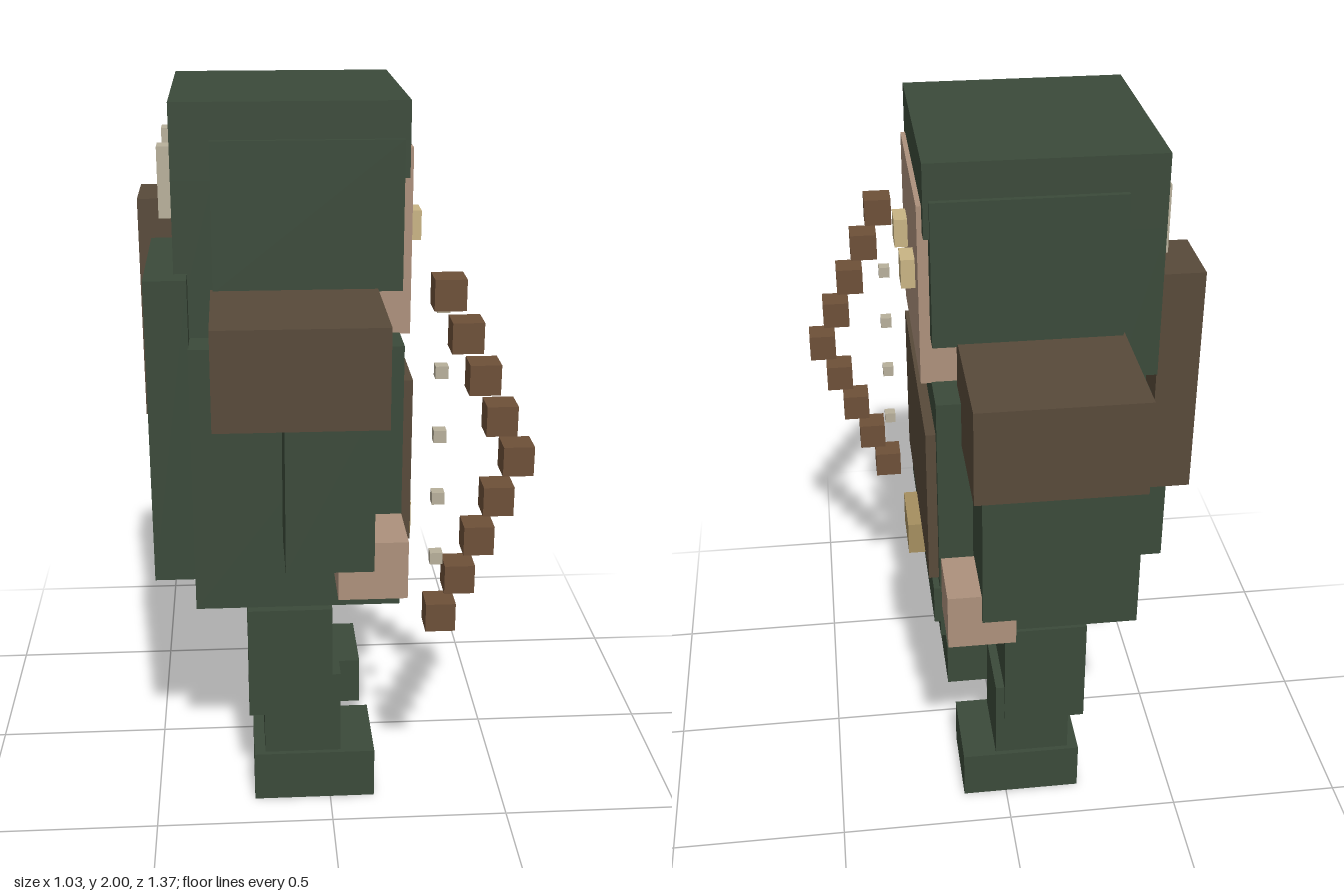
import * as THREE from 'three';

export function createModel() {
  const root = new THREE.Group();
  root.name = 'blockyArcher';

  const mat = (name, color) => {
    const m = new THREE.MeshStandardMaterial({ color });
    m.name = name;
    return m;
  };
  const green = mat('forestGreen', 0x3b4a3a);
  const leather = mat('darkLeather', 0x584a3a);
  const skin = mat('skin', 0xad917c);
  const gold = mat('paleGold', 0xc9b484);
  const brass = mat('brass', 0xa58f5f);
  const wood = mat('bowWood', 0x6d5038);
  const bone = mat('bone', 0xb8b09b);

  // Box given by its [min, max] range on each axis
  function box(name, material, [x0, x1], [y0, y1], [z0, z1], parent = root) {
    const mesh = new THREE.Mesh(new THREE.BoxGeometry(x1 - x0, y1 - y0, z1 - z0), material);
    mesh.position.set((x0 + x1) / 2, (y0 + y1) / 2, (z0 + z1) / 2);
    mesh.name = name;
    parent.add(mesh);
  }
  // The same box on both sides of the body
  function pair(name, material, x, y, [z0, z1]) {
    box(name + 'Right', material, x, y, [z0, z1]);
    box(name + 'Left', material, x, y, [-z1, -z0]);
  }
  function cube(name, material, size, x, y, z, parent) {
    const h = size / 2;
    box(name, material, [x - h, x + h], [y - h, y + h], [z - h, z + h], parent);
  }

  // Head and hood
  box('head', skin, [-0.3, 0.218], [1.38, 1.875], [-0.272, 0.275]);
  pair('eye', gold, [0.21, 0.255], [1.61, 1.69], [0.094, 0.174]);
  box('hoodTop', green, [-0.405, 0.205], [1.805, 2], [-0.317, 0.317]);
  box('hoodBack', green, [-0.405, -0.3], [1.39, 1.805], [-0.317, 0.317]);
  pair('hoodSide', green, [-0.305, 0.19], [1.513, 1.905], [0.265, 0.332]);

  // Torso, chest plate and belt
  box('torso', green, [-0.372, 0.19], [0.635, 1.383], [-0.398, 0.398]);
  box('chestPlate', leather, [0.18, 0.217], [0.82, 1.28], [-0.372, 0.372]);
  box('belt', green, [0.15, 0.207], [0.69, 0.805], [-0.403, 0.403]);
  box('buckle', brass, [0.2, 0.255], [0.705, 0.805], [-0.087, 0.09]);

  // Cloak, quiver and arrow ends on the back
  box('cloak', green, [-0.482, -0.37], [0.72, 1.563], [-0.2, 0.385]);
  box('quiver', leather, [-0.518, -0.404], [1.03, 1.675], [-0.31, -0.097]);
  for (const z of [-0.157, 0.152]) {
    box('arrowEnd', bone, [-0.444, -0.4], [1.68, 1.868], [z - 0.031, z + 0.031]);
  }

  // Arms
  pair('shoulderPad', leather, [-0.311, 0.125], [1.26, 1.52], [0.303, 0.685]);
  pair('arm', green, [-0.132, 0.097], [0.845, 1.3], [0.402, 0.619]);
  pair('hand', skin, [0.005, 0.187], [0.757, 0.918], [0.42, 0.602]);

  // Legs
  pair('thigh', green, [-0.232, 0.005], [0.28, 0.613], [0.14, 0.382]);
  pair('shin', green, [-0.188, 0.03], [0.14, 0.4], [0.152, 0.372]);
  pair('boot', green, [-0.22, 0.128], [0, 0.15], [0.135, 0.386]);

  // Bow limb and string as rows of small cubes
  const bow = new THREE.Group();
  bow.name = 'bow';
  root.add(bow);
  for (let i = -4; i <= 4; i++) {
    cube('bowLimb', wood, 0.08, 0.473 - 0.0475 * Math.abs(i), 1.114 + 0.1113 * i, 0.512, bow);
  }
  for (let i = 0; i < 6; i++) {
    cube('bowString', bone, 0.033, 0.27, 0.66 + 0.173 * i, 0.512, bow);
  }

  return root;
}
